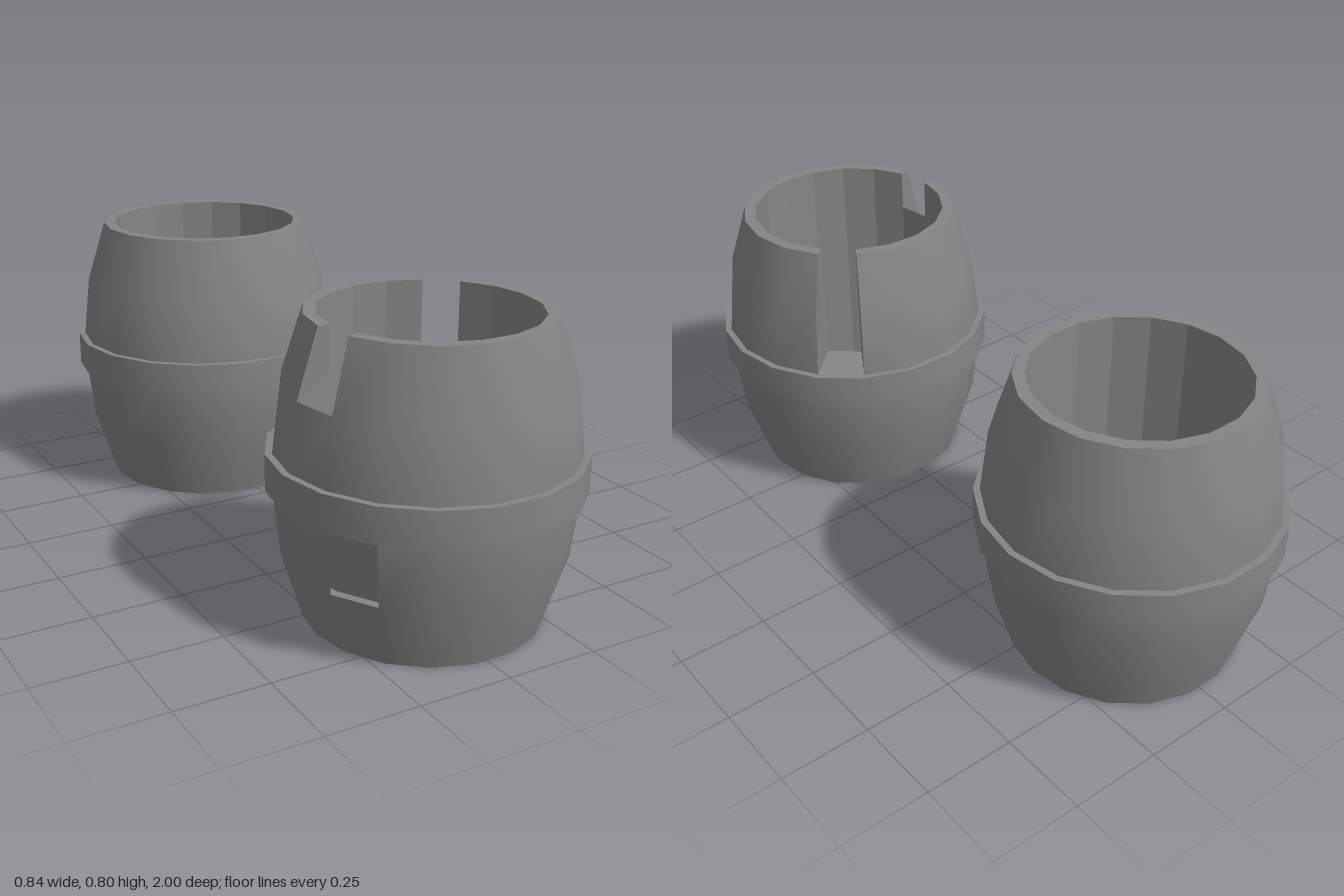
import * as THREE from 'three';
import { toCreasedNormals } from 'three/addons/utils/BufferGeometryUtils.js';

const SIDES = 18;
// [radius, height] of each ring, bottom to top
const OUTER = [[0.31, 0], [0.365, 0.175], [0.385, 0.35], [0.385, 0.445], [0.365, 0.62], [0.31, 0.795]];
const INNER = [0.04, 0.115, 0.335, 0.46, 0.68, 0.795].map((y) => [0.278, y]);
const BACKING = OUTER.map(([r, y]) => [r - 0.023, y]);
const ROWS = OUTER.length - 1;

const material = new THREE.MeshStandardMaterial({ color: 0x858585 });
const facetedMaterial = new THREE.MeshStandardMaterial({ color: 0x858585, flatShading: true });

function point(profile, side, row) {
  const a = (side / SIDES) * Math.PI * 2;
  const [r, y] = profile[row];
  return [r * Math.cos(a), y, r * Math.sin(a)];
}

function addQuad(list, a, b, c, d) {
  list.push(...a, ...b, ...c, ...a, ...c, ...d);
}

function toGeometry(list) {
  const geometry = new THREE.BufferGeometry();
  geometry.setAttribute('position', new THREE.Float32BufferAttribute(list, 3));
  geometry.computeVertexNormals();
  return geometry;
}

function addMesh(group, name, geometry, mat = material) {
  const mesh = new THREE.Mesh(geometry, mat);
  mesh.name = name;
  group.add(mesh);
  return mesh;
}

// cuts: 'side,row' -> 'open' (through the wall) or 'recess' (shallow)
function createBarrel(name, cuts = {}) {
  const group = new THREE.Group();
  group.name = name;
  const shell = [], lining = [], edges = [];
  const cutAt = (s, r) => cuts[`${s},${r}`];

  for (let s = 0; s < SIDES; s++) {
    const n = s + 1;
    for (let r = 0; r < ROWS; r++) {
      const u = r + 1;
      const cut = cutAt(s, r);
      const O = (side, row) => point(OUTER, side, row);
      const B = (side, row) => point(BACKING, side, row);
      const L = (side, row) => point(INNER, side, row);
      const I = cut === 'recess' ? B : L;

      // Outer staves and inner lining
      if (!cut) addQuad(shell, O(n, r), O(s, r), O(s, u), O(n, u));
      if (cut !== 'open') addQuad(lining, L(s, r), L(n, r), L(n, u), L(s, u));

      // Sills and lintels of each cut
      if (cut) {
        if (!cutAt(s, r - 1)) addQuad(edges, I(s, r), I(n, r), O(n, r), O(s, r));
        if (u < ROWS && !cutAt(s, u)) addQuad(edges, O(s, u), O(n, u), I(n, u), I(s, u));
      }
      // Side walls of the open cuts
      if (cut === 'open') {
        addQuad(edges, I(s, r), O(s, r), O(s, u), I(s, u));
        addQuad(edges, O(n, r), I(n, r), I(n, u), O(n, u));
      }
      // Backing behind the recess, running on under the neighbouring staves
      if (cut === 'recess') {
        for (let k = s - 1; k <= s + 1; k++) {
          addQuad(edges, B(k + 1, r), B(k, r), B(k, u), B(k + 1, u));
        }
      }
      // Top rim
      if (u === ROWS && !cut) addQuad(edges, I(s, u), I(n, u), O(n, u), O(s, u));
    }
  }
  addMesh(group, 'outerWall', toCreasedNormals(toGeometry(shell), 0.6));
  addMesh(group, 'innerWall', toGeometry(lining), facetedMaterial);
  addMesh(group, 'rimAndCutEdges', toGeometry(edges), facetedMaterial);

  // Hoop round the middle
  const hoop = [[0.38, 0.35], [0.403, 0.35], [0.403, 0.445], [0.38, 0.445]]
    .map(([x, y]) => new THREE.Vector2(x, y));
  addMesh(group, 'hoop', toCreasedNormals(new THREE.LatheGeometry(hoop, SIDES, Math.PI / 2), 0.6));

  // Underside and inside floor
  const base = addMesh(group, 'base', new THREE.CircleGeometry(OUTER[0][0], SIDES));
  base.rotation.x = Math.PI / 2;
  const floor = addMesh(group, 'innerFloor', new THREE.CircleGeometry(INNER[0][0], SIDES));
  floor.rotation.x = -Math.PI / 2;
  floor.position.y = INNER[0][1];
  return group;
}

export function createModel() {
  const model = new THREE.Group();
  model.name = 'barrels';

  const damaged = createBarrel('damagedBarrel', {
    '1,3': 'open', // window
    '8,4': 'open', // short notch
    '15,3': 'open', '15,4': 'open', // tall notch
    '7,1': 'recess', // shallow panel
  });
  damaged.position.set(0.015, 0, 0.603);

  const whole = createBarrel('wholeBarrel');
  whole.position.set(-0.015, 0, -0.603);

  model.add(damaged, whole);
  return model;
}
